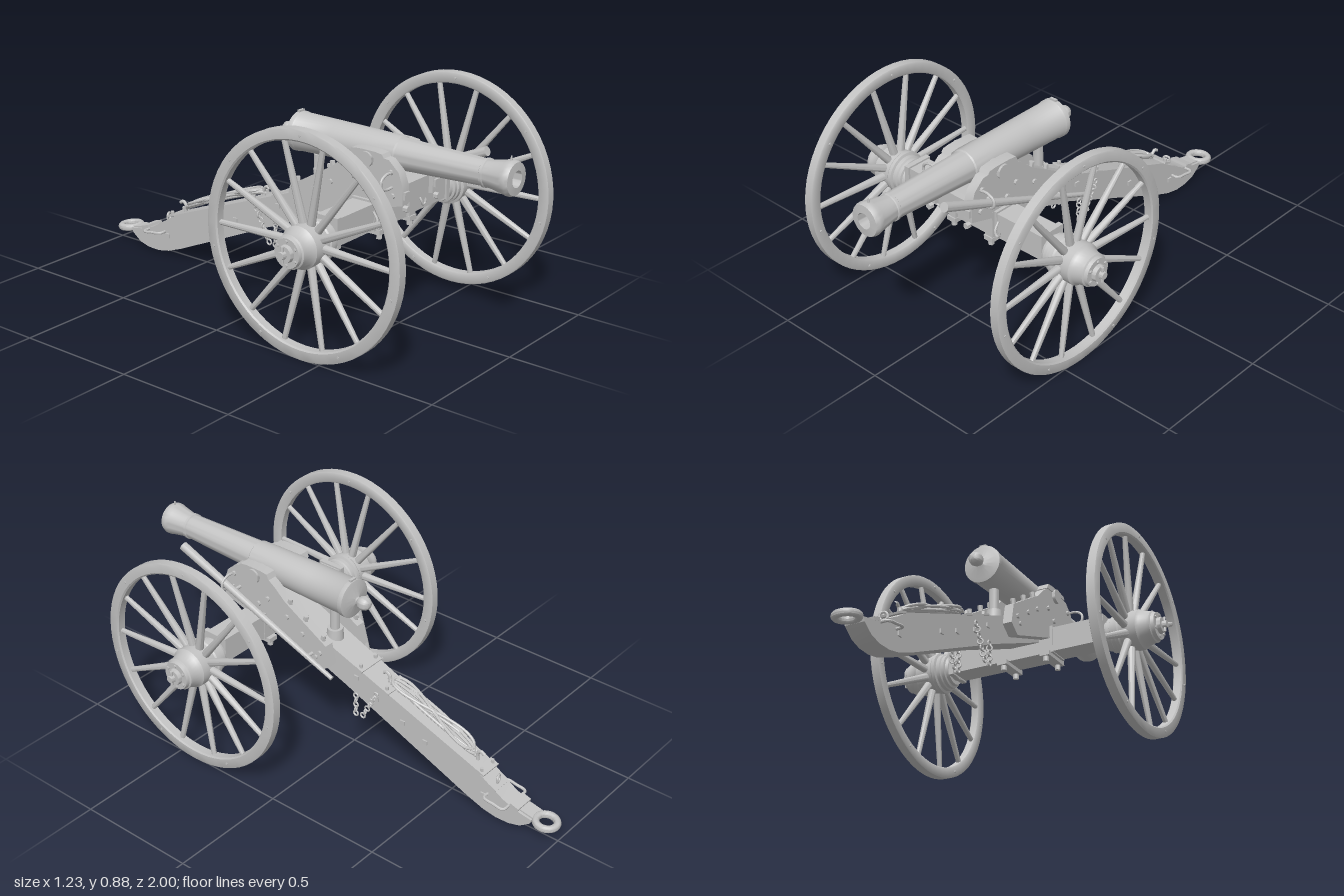
import * as THREE from 'three';
import { toCreasedNormals } from 'three/addons/utils/BufferGeometryUtils.js';

const grey = new THREE.MeshStandardMaterial({ color: 0xc2c2c2 });
grey.name = 'plain grey';
const V = (x, y, z) => new THREE.Vector3(x, y, z);

function add(parent, name, geo, x = 0, y = 0, z = 0) {
  const mesh = new THREE.Mesh(toCreasedNormals(geo, 0.65), grey);
  mesh.name = name;
  mesh.position.set(x, y, z);
  parent.add(mesh);
  return mesh;
}
const box = (p, name, w, h, d, x, y, z) => add(p, name, new THREE.BoxGeometry(w, h, d), x, y, z);

// tapered round bar between two points
function bar(p, name, a, b, ra, rb = ra, sides = 10) {
  const d = b.clone().sub(a);
  const mesh = add(p, name, new THREE.CylinderGeometry(rb, ra, d.length(), sides));
  mesh.position.copy(a).add(b).multiplyScalar(0.5);
  mesh.quaternion.setFromUnitVectors(V(0, 1, 0), d.normalize());
  return mesh;
}
// bent round bar through points
function tube(p, name, pts, r, closed = false, steps = 28) {
  const curve = new THREE.CatmullRomCurve3(pts.map(q => V(...q)), closed);
  return add(p, name, new THREE.TubeGeometry(curve, steps, r, 8, closed));
}
// turned profile of [radius, height]
const lathe = (pts, seg = 32) => new THREE.LatheGeometry(pts.map(q => new THREE.Vector2(...q)), seg);
// side profile of [z, y], extruded across x
function slab(pts, width) {
  const shape = new THREE.Shape(pts.map(q => new THREE.Vector2(...q)));
  const g = new THREE.ExtrudeGeometry(shape, { depth: width, bevelEnabled: false });
  return g.translate(0, 0, -width / 2).rotateY(-Math.PI / 2);
}

const trailTop = z => 0.438 + 0.385 * z;
const trailHalf = z => 0.06 + 0.022 * z;

function makeWheel(side) {
  const wheel = new THREE.Group();
  wheel.name = side > 0 ? 'leftWheel' : 'rightWheel';
  wheel.position.set(0, 0.443, 0.415);
  if (side < 0) wheel.rotation.y = Math.PI;
  // rim with softened edges
  add(wheel, 'rim', lathe([[0.396, 0.472], [0.402, 0.468], [0.437, 0.468], [0.442, 0.471], [0.442, 0.507],
    [0.437, 0.51], [0.402, 0.51], [0.396, 0.505], [0.396, 0.472]], 64).rotateZ(-Math.PI / 2));
  // stepped hub
  add(wheel, 'hub', lathe([[0, 0.362], [0.06, 0.362], [0.063, 0.375], [0.072, 0.378], [0.072, 0.392], [0.078, 0.396],
    [0.078, 0.412], [0.088, 0.416], [0.088, 0.43], [0.083, 0.436], [0.083, 0.51], [0.073, 0.52], [0.066, 0.55],
    [0.066, 0.563], [0.06, 0.567], [0.057, 0.581], [0.034, 0.581], [0.032, 0.598], [0, 0.598]]).rotateZ(-Math.PI / 2));
  bar(wheel, 'axleTip', V(0.59, 0, 0), V(0.616, 0, 0), 0.017, 0.014, 12);
  bar(wheel, 'linchPin', V(0.604, -0.03, 0), V(0.604, 0.032, 0), 0.006, 0.006, 8);
  for (let i = 0; i < 6; i++) {
    const a = i * Math.PI / 3;
    bar(wheel, 'hubBolt', V(0.57, 0.046 * Math.cos(a), 0.046 * Math.sin(a)),
      V(0.587, 0.046 * Math.cos(a), 0.046 * Math.sin(a)), 0.006, 0.006, 6);
  }
  // dished spokes and rim bolts
  for (let i = 0; i < 14; i++) {
    const a = (i + 0.5) * Math.PI / 7, c = Math.cos(a), s = Math.sin(a);
    bar(wheel, 'spoke', V(0.462, 0.06 * c, 0.06 * s), V(0.486, 0.402 * c, 0.402 * s), 0.017, 0.0105, 10);
    if (i % 2) {
      const b = a + 0.22, y = 0.42 * Math.cos(b), z = 0.42 * Math.sin(b);
      bar(wheel, 'rimBolt', V(0.463, y, z), V(0.513, y, z), 0.005, 0.005, 6);
    }
  }
  return wheel;
}

function makeBarrel() {
  const gun = new THREE.Group();
  gun.name = 'barrel';
  gun.position.set(0, 0.681, 0);
  gun.rotation.x = -0.012;
  // knob, breech, tapering tube, muzzle swell and bore in one turned piece
  add(gun, 'tube', lathe([[0, -0.078], [0.014, -0.075], [0.025, -0.064], [0.029, -0.048], [0.025, -0.032], [0.015, -0.022],
    [0.015, -0.015], [0.035, -0.008], [0.066, -0.002], [0.08, 0.002], [0.08, 0.022], [0.077, 0.026], [0.074, 0.2],
    [0.07, 0.4], [0.067, 0.498], [0.062, 0.503], [0.051, 0.865], [0.055, 0.868], [0.055, 0.878], [0.051, 0.881],
    [0.054, 0.905], [0.063, 0.955], [0.067, 0.97], [0.067, 0.982], [0.062, 0.995], [0.032, 0.998], [0.03, 0.85], [0, 0.85]],
  40).rotateX(Math.PI / 2));
  bar(gun, 'trunnions', V(-0.13, -0.005, 0.42), V(0.13, -0.005, 0.42), 0.03, 0.03, 20);
  bar(gun, 'frontSight', V(0, 0.06, 0.972), V(0, 0.083, 0.972), 0.005, 0.003, 8);
  box(gun, 'rearSight', 0.03, 0.014, 0.012, 0, 0.08, 0.012);
  return gun;
}

export function createModel() {
  const model = new THREE.Group();
  model.name = 'fieldGun';
  model.add(makeWheel(1), makeWheel(-1), makeBarrel());

  // axle
  const axle = new THREE.Group();
  axle.name = 'axle';
  model.add(axle);
  box(axle, 'axleBeam', 0.7, 0.106, 0.1, 0, 0.464, 0.415);
  box(axle, 'axleMiddle', 0.26, 0.118, 0.106, 0, 0.466, 0.415);
  for (const s of [-1, 1]) {
    box(axle, 'axleBand', 0.022, 0.12, 0.116, s * 0.35, 0.464, 0.415);
    bar(axle, 'axleArm', V(s * 0.34, 0.445, 0.415), V(s * 0.4, 0.445, 0.415), 0.045, 0.045, 20);
    box(axle, 'axleClamp', 0.044, 0.02, 0.14, s * 0.098, 0.401, 0.415);
    box(axle, 'clampStrap', 0.04, 0.13, 0.012, s * 0.098, 0.46, 0.474);
    for (const z of [0.362, 0.468]) bar(axle, 'clampBolt', V(s * 0.098, 0.37, z), V(s * 0.098, 0.41, z), 0.012, 0.012, 6);
    tube(axle, 'axleHook', [[s * 0.14, 0.49, 0.47], [s * 0.142, 0.46, 0.49], [s * 0.15, 0.442, 0.492],
      [s * 0.163, 0.445, 0.492], [s * 0.168, 0.465, 0.492]], 0.0045);
  }

  // trail beam, narrowing to the rear, with a skid toe
  const beam = slab([[0.57, 0.525], [0.57, 0.6], [0.42, 0.6], [0, trailTop(0)], [-0.63, trailTop(-0.63)], [-0.7, 0.15],
    [-0.77, 0.108], [-0.83, 0.085], [-0.9, 0.072], [-0.895, 0.055], [-0.85, 0.022], [-0.8, 0.009], [-0.74, 0.008],
    [-0.68, 0.02], [-0.6, 0.05], [0, 0.315], [0.36, 0.46], [0.48, 0.5]], 1);
  const bp = beam.attributes.position;
  for (let i = 0; i < bp.count; i++) bp.setX(i, bp.getX(i) * 2 * trailHalf(bp.getZ(i)));
  add(model, 'trail', beam);

  // cheeks beside the barrel
  for (const s of [-1, 1]) {
    const cheek = new THREE.Group();
    cheek.name = s > 0 ? 'leftCheek' : 'rightCheek';
    model.add(cheek);
    add(cheek, 'cheekPlate', slab([[0.585, 0.53], [0.585, 0.6], [0.565, 0.655], [0.52, 0.695], [0.46, 0.7], [0.36, 0.7],
      [0.31, 0.665], [0.26, 0.62], [0.05, 0.497], [0.03, 0.41], [0.08, 0.372], [0.36, 0.47], [0.48, 0.5]], 0.04), s * 0.097);
    add(cheek, 'trunnionCap', slab([[0.5, 0.698], [0.49, 0.712], [0.455, 0.716], [0.385, 0.716], [0.35, 0.712], [0.34, 0.69]],
      0.046), s * 0.098);
    for (const z of [0.08, 0.17, 0.25]) {
      const y = 0.468 + 0.586 * z;
      bar(cheek, 'topBolt', V(s * 0.1, y - 0.02, z), V(s * 0.1, y + 0.018, z - 0.006), 0.011, 0.011, 6);
      bar(cheek, 'sideBolt', V(s * 0.09, y - 0.06, z), V(s * 0.126, y - 0.06, z), 0.011, 0.011, 8);
    }
    for (const [z, y] of [[0.54, 0.56], [0.53, 0.65], [0.35, 0.6], [0.4, 0.56]])
      bar(cheek, 'sideBolt', V(s * 0.09, y, z), V(s * 0.127, y, z), 0.011, 0.011, 8);
    box(cheek, 'frontStrap', 0.03, 0.03, 0.012, s * 0.098, 0.567, 0.588);
    bar(cheek, 'frontBolt', V(s * 0.098, 0.515, 0.58), V(s * 0.098, 0.515, 0.6), 0.013, 0.013, 6);
    // carrying loop
    tube(cheek, 'sideLoop', [[s * 0.115, 0.65, 0.535], [s * 0.155, 0.65, 0.535], [s * 0.182, 0.633, 0.535],
      [s * 0.182, 0.605, 0.535], [s * 0.155, 0.592, 0.535], [s * 0.115, 0.592, 0.535]], 0.0055);
  }
  bar(model, 'crossBolt', V(-0.125, 0.43, 0.1), V(0.125, 0.43, 0.1), 0.009);
  bar(model, 'elevatingScrew', V(0, 0.44, 0.1), V(0, 0.605, 0.1), 0.02, 0.02, 16);
  bar(model, 'elevatingNut', V(0, 0.46, 0.1), V(0, 0.51, 0.1), 0.036, 0.032, 16);

  // long rod stowed on the left
  bar(model, 'handspike', V(0.145, 0.385, -0.005), V(0.164, 0.71, 0.765), 0.009, 0.019, 14);
  for (const z of [0.12, 0.5])
    bar(model, 'handspikeBracket', V(0.1, 0.388 + 0.422 * z, z), V(0.158, 0.388 + 0.422 * z, z), 0.007);

  // bands, bolts and side rings on the trail
  for (const z of [-0.07, -0.2, -0.66]) {
    const w = trailHalf(z) * 2 + 0.008;
    const plate = box(model, 'trailBand', w, 0.008, 0.04, 0, trailTop(z) + 0.001, z);
    plate.rotation.x = -0.367;
    for (const s of [-1, 1])
      bar(model, 'bandBolt', V(s * w * 0.36, trailTop(z), z), V(s * w * 0.36, trailTop(z) + 0.018, z), 0.008, 0.008, 6);
  }
  for (const s of [-1, 1]) {
    for (const [z, y] of [[-0.29, 0.255], [-0.4, 0.21], [-0.06, 0.37], [-0.68, 0.09], [-0.16, 0.31]])
      box(model, 'trailPlate', 0.008, 0.018, 0.022, s * (trailHalf(z) + 0.002), y, z);
    // chains below the trail sides
    for (const [z0, y0, dz, n] of [[-0.065, 0.29, 0, 5], [-0.165, 0.335, 0.011, 7]])
      for (let i = 0; i < n; i++) {
        const link = add(model, 'chainLink', new THREE.TorusGeometry(0.011, 0.0038, 6, 12),
          s * (trailHalf(z0) + 0.011), y0 - i * 0.021, z0 + i * dz);
        link.rotation.y = i % 2 ? 0.3 : Math.PI / 2;
      }
    // lifting handles
    tube(model, 'trailHandle', [[s * 0.035, 0.092, -0.795], [s * 0.068, 0.092, -0.795], [s * 0.077, 0.092, -0.785],
      [s * 0.077, 0.097, -0.75], [s * 0.077, 0.102, -0.71], [s * 0.068, 0.103, -0.7], [s * 0.035, 0.103, -0.7]], 0.006);
  }

  // coiled rope on top of the trail, wound between two hooks
  for (let k = 0; k < 4; k++) {
    const pts = [], amp = 0.016 + 0.006 * k;
    for (let i = 0; i < 16; i++) {
      const t = i / 16 * Math.PI * 2, z = -0.395 + (0.22 - 0.008 * k) * Math.cos(t);
      const x = k % 2 ? amp * Math.sin(2 * t) : amp * Math.sin(t);
      pts.push([x, trailTop(z) + 0.012 + 0.006 * k + 0.012 * Math.abs(Math.sin(t)), z]);
    }
    tube(model, 'rope', pts, 0.0065, true, 70);
  }
  for (const [z, d] of [[-0.18, 1], [-0.615, -1]])
    tube(model, 'ropeHook', [[0, trailTop(z) - 0.01, z], [0, trailTop(z) + 0.03, z],
      [0, trailTop(z) + 0.042, z + d * 0.015], [0, trailTop(z) + 0.034, z + d * 0.03]], 0.007);

  // towing eye, its plate and staple
  const eye = add(model, 'towingEye', new THREE.TorusGeometry(0.042, 0.015, 12, 32), 0, 0.064, -0.943);
  eye.rotation.x = Math.PI / 2 - 0.1;
  box(model, 'eyeShank', 0.06, 0.02, 0.09, 0, 0.075, -0.86).rotation.x = -0.18;
  box(model, 'eyePlate', 0.086, 0.014, 0.04, 0, 0.095, -0.82).rotation.x = -0.3;
  box(model, 'staplePlate', 0.088, 0.014, 0.05, 0, 0.138, -0.71).rotation.x = -0.5;
  const staple = add(model, 'stapleRing', new THREE.TorusGeometry(0.016, 0.005, 8, 18), 0, 0.157, -0.715);
  staple.rotation.y = 0.3;
  return model;
}
